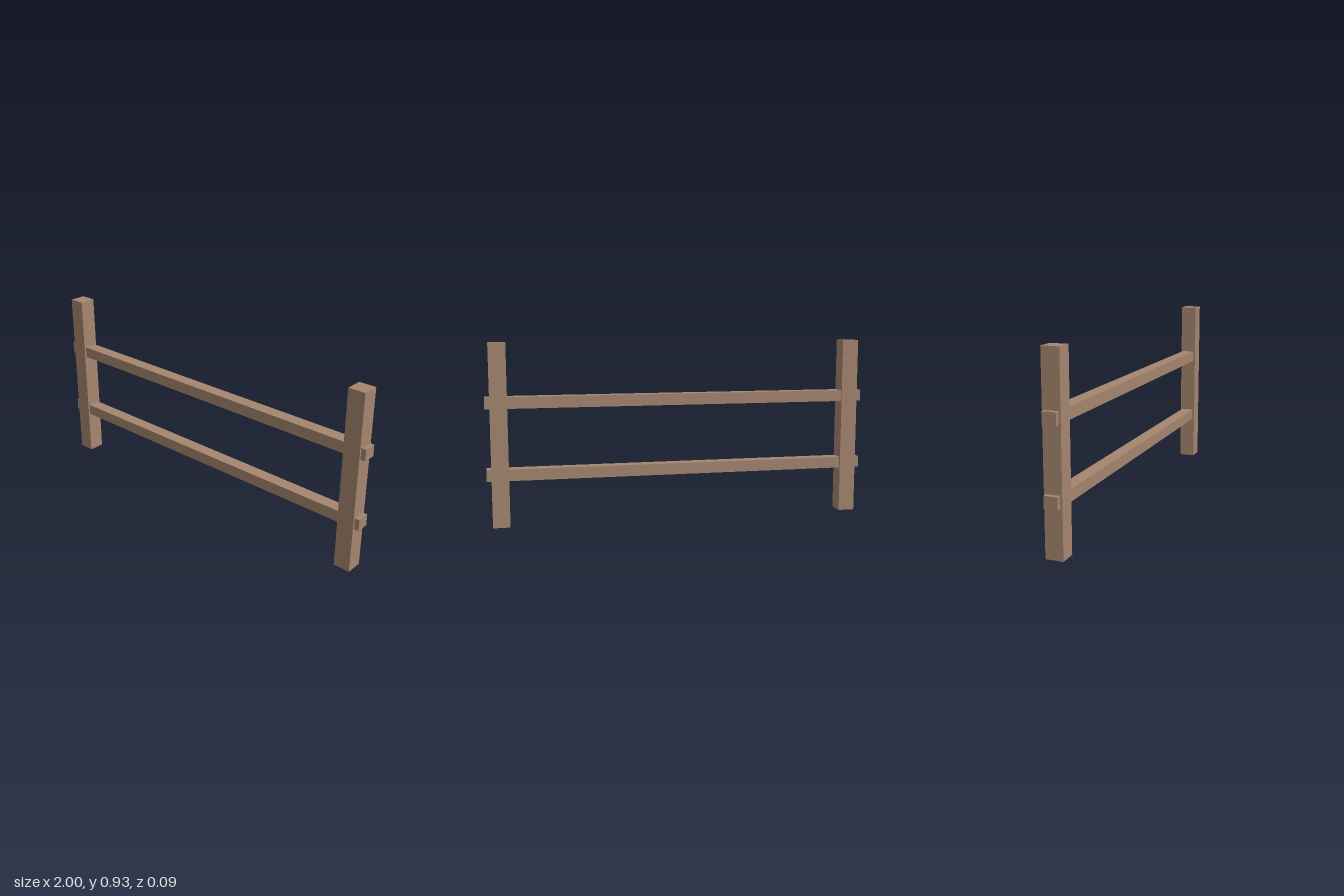
import * as THREE from 'three';

export function createModel() {
  const fence = new THREE.Group();
  fence.name = 'fence';
  const wood = new THREE.MeshStandardMaterial({ color: 0xa5866f });
  wood.name = 'wood';

  const addBeam = (name, size, position) => {
    const beam = new THREE.Mesh(new THREE.BoxGeometry(...size), wood);
    beam.name = name;
    beam.position.set(...position);
    fence.add(beam);
  };

  // Upright posts, mirrored left and right
  const postHeight = 0.934;
  for (const [name, side] of [['leftPost', 1], ['rightPost', -1]]) {
    addBeam(name, [0.087, postHeight, 0.087], [side * 0.932, postHeight / 2, 0]);
  }

  // Rails pass through the posts and stick out at both ends
  for (const [name, y] of [['lowerRail', 0.267], ['upperRail', 0.634]]) {
    addBeam(name, [2, 0.059, 0.067], [0, y, 0]);
  }

  return fence;
}
